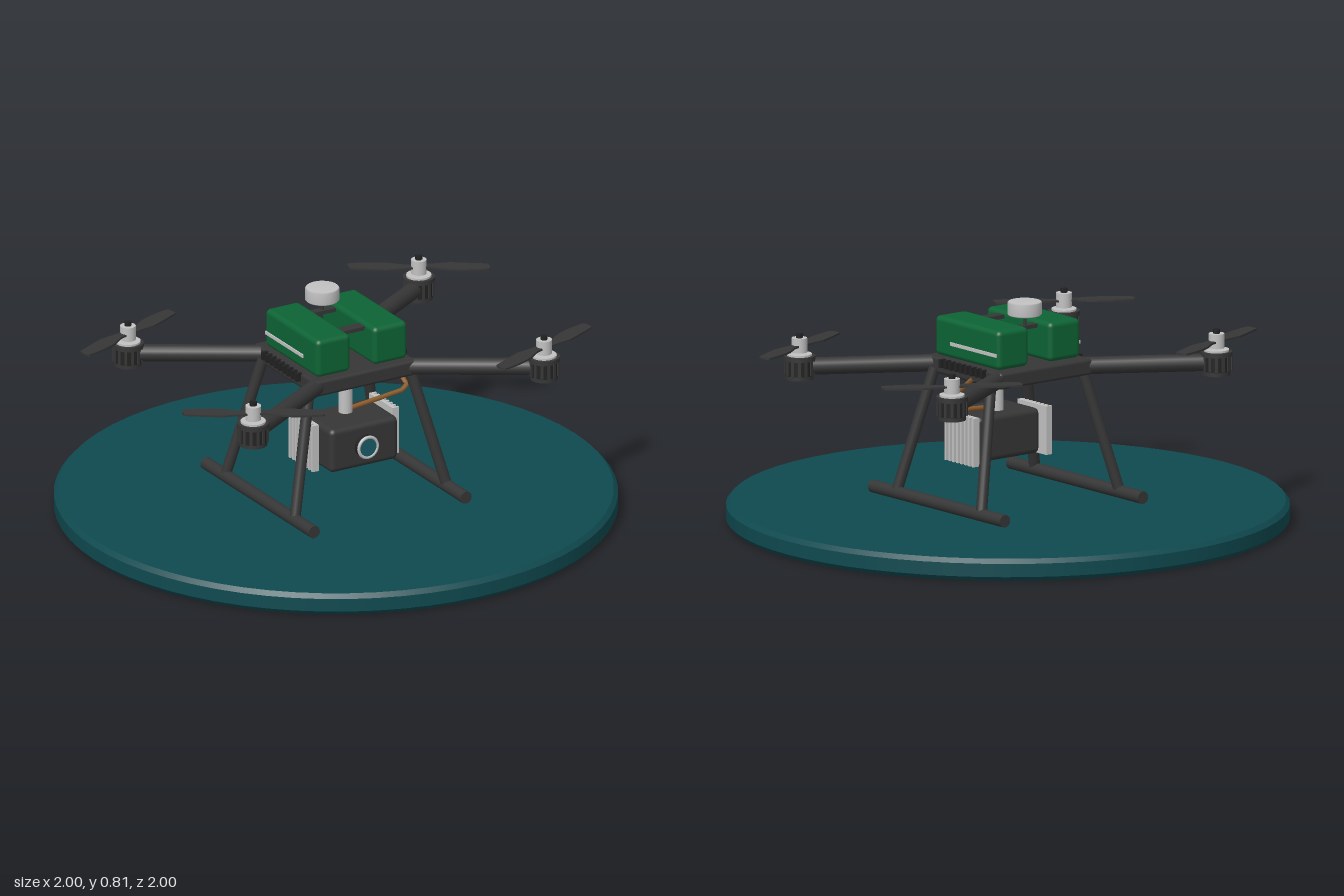
import * as THREE from 'three';
import { RoundedBoxGeometry } from 'three/addons/geometries/RoundedBoxGeometry.js';

const material = (name, color) => {
  const m = new THREE.MeshStandardMaterial({ color });
  m.name = name;
  return m;
};

export function createModel() {
  const root = new THREE.Group();
  root.name = 'surveyDrone';
  const teal = material('padTeal', 0x0f4a50);
  const dark = material('carbon', 0x363636);
  const black = material('black', 0x222222);
  const green = material('batteryGreen', 0x0d6435);
  const silver = material('silver', 0xc2c2c2);
  const copper = material('copper', 0x8c5c2c);
  const glass = material('lensGlass', 0x1a5c68);

  const add = (name, geo, mat, x = 0, y = 0, z = 0, parent = root) => {
    const mesh = new THREE.Mesh(geo, mat);
    mesh.name = name;
    mesh.position.set(x, y, z);
    parent.add(mesh);
    return mesh;
  };
  const box = (w, h, d) => new THREE.BoxGeometry(w, h, d);
  const cyl = (r, h, n = 24) => new THREE.CylinderGeometry(r, r, h, n);
  // Straight tube between two points
  const rod = (name, a, b, r, mat) => {
    const p = new THREE.Vector3(...a), q = new THREE.Vector3(...b);
    const mesh = add(name, cyl(r, p.distanceTo(q), 16), mat);
    mesh.position.copy(p).add(q).multiplyScalar(0.5);
    mesh.quaternion.setFromUnitVectors(new THREE.Vector3(0, 1, 0), q.sub(p).normalize());
    return mesh;
  };

  // Landing pad: disc with chamfered rims
  add('padSide', new THREE.CylinderGeometry(1, 1, 0.048, 64, 1, true), teal, 0, 0.04, 0);
  add('padTop', new THREE.CylinderGeometry(0.985, 1, 0.016, 64), teal, 0, 0.072, 0);
  add('padBottom', new THREE.CylinderGeometry(1, 0.985, 0.016, 64), teal, 0, 0.008, 0);

  // Fuselage plate with cooling fins along both sides
  add('fuselage', new RoundedBoxGeometry(0.42, 0.06, 0.43, 2, 0.012), dark, 0, 0.57, -0.005);
  for (const s of [-1, 1]) {
    for (let i = 0; i < 9; i++) add('coolingFin', box(0.024, 0.03, 0.014), black, s * 0.216, 0.585, -0.13 + i * 0.029);
  }

  // Twin batteries with a pale stripe on the outer faces
  for (const s of [-1, 1]) {
    add('battery', new RoundedBoxGeometry(0.14, 0.142, 0.365, 3, 0.018), green, s * 0.117, 0.671, 0.002);
    add('batteryStripe', box(0.008, 0.012, 0.26), silver, s * 0.188, 0.654, -0.04);
  }
  add('batteryStrap', box(0.1, 0.014, 0.04), dark, 0, 0.722, 0.1);
  add('antennaBridge', box(0.1, 0.014, 0.03), dark, 0, 0.722, -0.095);

  // Satellite antenna puck
  add('antennaMast', cyl(0.007, 0.04, 12), dark, 0, 0.745, -0.095);
  const puck = [[0, 0.765], [0.057, 0.765], [0.061, 0.769], [0.061, 0.811], [0.057, 0.815], [0, 0.815]];
  add('antennaPuck', new THREE.LatheGeometry(puck.map(p => new THREE.Vector2(...p)), 32), silver, 0, 0, -0.095);

  // Propeller blade outline, swept towards its tip
  const blade = new THREE.Shape();
  blade.moveTo(0, -0.016);
  blade.lineTo(0.06, -0.022);
  blade.lineTo(0.11, -0.03);
  blade.quadraticCurveTo(0.18, -0.022, 0.244, -0.012);
  blade.quadraticCurveTo(0.258, 0.02, 0.248, 0.034);
  blade.quadraticCurveTo(0.17, 0.044, 0.11, 0.034);
  blade.lineTo(0.05, 0.014);
  blade.lineTo(0, 0.014);
  const bladeGeo = new THREE.ExtrudeGeometry(blade, { depth: 0.007, bevelEnabled: false });
  bladeGeo.rotateX(-Math.PI / 2);
  // Same blade with the opposite sweep, for the counter-rotating pair
  const counterGeo = new THREE.ExtrudeGeometry(
    new THREE.Shape(blade.getPoints(8).map(p => new THREE.Vector2(p.x, -p.y))),
    { depth: 0.007, bevelEnabled: false });
  counterGeo.rotateX(-Math.PI / 2);

  // Four arms with motors and propellers
  for (const sx of [-1, 1]) for (const sz of [-1, 1]) {
    const x = sx * 0.6, z = sz * 0.433;
    rod('arm', [sx * 0.15, 0.57, sz * 0.158], [x, 0.57, z], 0.031, dark);

    const motor = new THREE.Group();
    motor.name = 'motor';
    motor.position.set(x, 0, z);
    root.add(motor);
    add('motorBase', cyl(0.05, 0.02), dark, 0, 0.535, 0, motor);
    add('motorBell', cyl(0.052, 0.06), black, 0, 0.57, 0, motor);
    add('motorRim', cyl(0.057, 0.016), dark, 0, 0.602, 0, motor);
    for (let i = 0; i < 14; i++) {
      const a = i / 14 * Math.PI * 2;
      const rib = add('motorRib', box(0.007, 0.055, 0.01), dark, Math.cos(a) * 0.053, 0.57, Math.sin(a) * 0.053, motor);
      rib.rotation.y = -a;
    }
    add('motorCollar', cyl(0.045, 0.008), silver, 0, 0.613, 0, motor);
    add('propellerHub', cyl(0.028, 0.052), silver, 0, 0.648, 0, motor);
    add('hubNut', cyl(0.013, 0.016, 6), black, 0, 0.682, 0, motor);

    const same = sx * sz > 0;
    const propeller = new THREE.Group();
    propeller.name = 'propeller';
    propeller.position.y = 0.642;
    propeller.rotation.y = same ? 0.32 : -0.5;
    motor.add(propeller);
    for (const turn of [0, Math.PI]) {
      add('blade', same ? bladeGeo : counterGeo, dark, 0, 0, 0, propeller).rotation.y = turn;
    }
  }

  // Landing gear: splayed legs on two skids
  for (const sx of [-1, 1]) {
    for (const sz of [-1, 1]) rod('leg', [sx * 0.205, 0.56, sz * 0.16], [sx * 0.313, 0.11, sz * 0.24], 0.02, dark);
    rod('skid', [sx * 0.313, 0.107, -0.375], [sx * 0.313, 0.107, 0.375], 0.023, dark);
  }

  // Camera pod hung from a post
  add('cameraPost', cyl(0.025, 0.16), silver, 0, 0.468, 0.065);
  add('cameraBody', new RoundedBoxGeometry(0.28, 0.165, 0.21, 3, 0.02), dark, 0, 0.312, 0.095);
  for (const s of [-1, 1]) {
    add('heatSinkMount', box(0.03, 0.06, 0.06), dark, s * 0.145, 0.312, 0.055);
    add('heatSink', box(0.014, 0.176, 0.165), silver, s * 0.159, 0.312, 0.055);
    for (let i = 0; i < 8; i++) add('heatSinkFin', box(0.014, 0.176, 0.01), silver, s * 0.172, 0.312, -0.022 + i * 0.022);
  }
  add('lensBarrel', cyl(0.042, 0.025, 32), black, 0, 0.312, 0.208).rotation.x = Math.PI / 2;
  add('lensRing', new THREE.TorusGeometry(0.038, 0.006, 10, 32), silver, 0, 0.312, 0.222);
  add('lensGlass', cyl(0.034, 0.006, 32), glass, 0, 0.312, 0.222).rotation.x = Math.PI / 2;

  // Cable from the pod up to the fuselage
  const path = new THREE.CurvePath();
  const points = [[0.01, 0.405, 0.07], [0.24, 0.422, 0.055], [0.266, 0.435, 0.045], [0.23, 0.565, -0.09]]
    .map(p => new THREE.Vector3(...p));
  for (let i = 0; i < 3; i++) path.add(new THREE.LineCurve3(points[i], points[i + 1]));
  add('cable', new THREE.TubeGeometry(path, 40, 0.009, 8), copper);

  return root;
}
